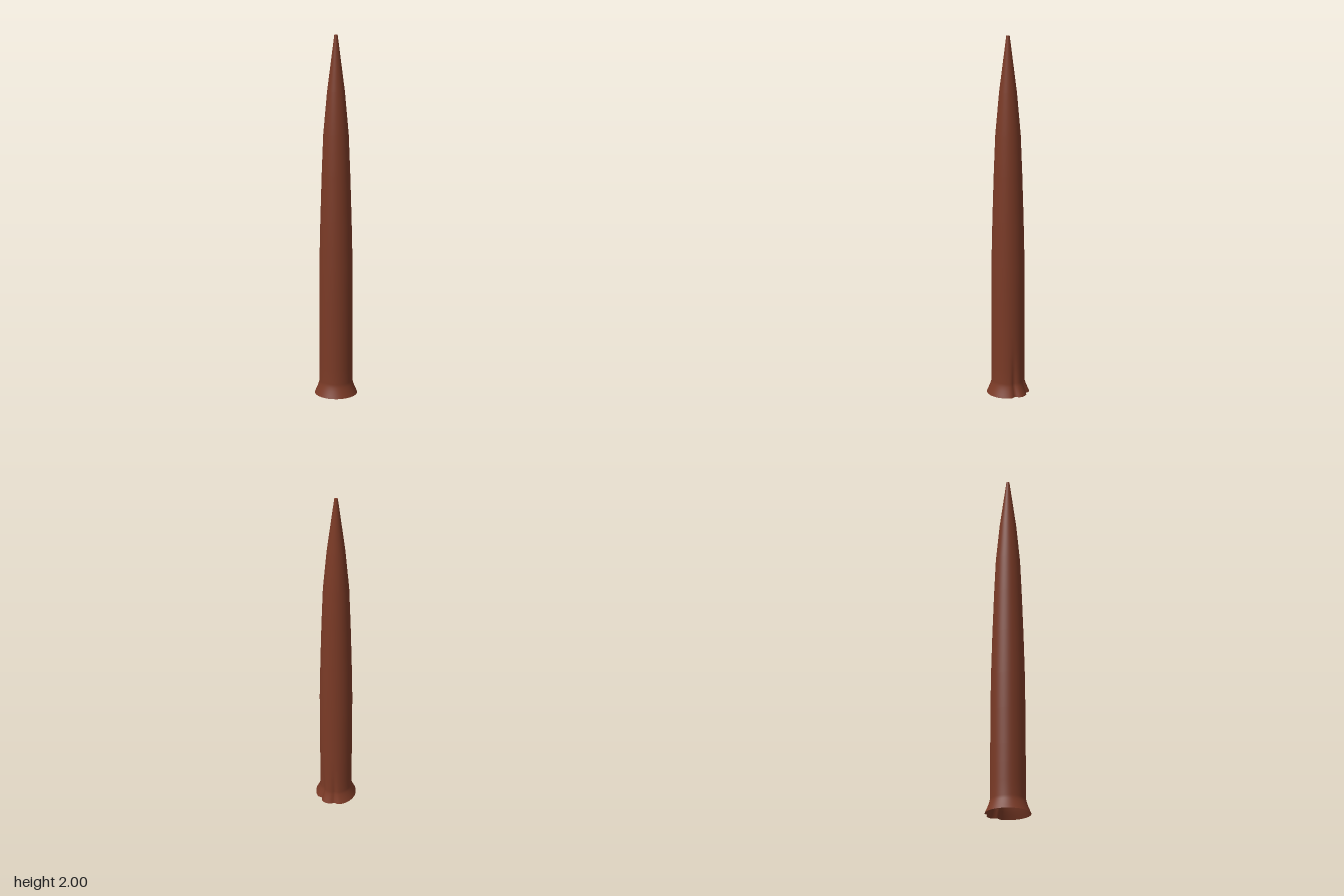
import * as THREE from 'three';
import { mergeVertices } from 'three/addons/utils/BufferGeometryUtils.js';

const AXIS_X = -0.002;

// Creases pressed into the flared foot: angle from +x towards +z, depth, width (radians)
const CREASES = [
  { angle: -0.50, depth: 0.013, width: 0.13 },
  { angle: 0.35, depth: 0.016, width: 0.13 },
];

// Tapered shaft with a flared, open foot; the creases fade out going up
function shaftGeometry() {
  const profile = [
    [0.12, 0], [0.112, 0.018], [0.104, 0.037], [0.097, 0.057], [0.093, 0.075],
    [0.093, 0.16], [0.093, 0.25], [0.093, 0.35], [0.093, 0.55], [0.092, 0.75],
    [0.086, 1.0], [0.078, 1.25], [0.069, 1.47], [0.048, 1.7], [0.009, 2],
  ].map(([r, y]) => new THREE.Vector2(r, y));
  let geometry = new THREE.LatheGeometry(profile, 72);

  const pos = geometry.attributes.position;
  for (let i = 0; i < pos.count; i++) {
    const x = pos.getX(i), y = pos.getY(i), z = pos.getZ(i);
    const angle = Math.atan2(z, x), r = Math.hypot(x, z);
    const fade = Math.max(0, 1 - y / 0.35) ** 2;
    let dr = 0.004 * Math.exp(-((angle / 0.2) ** 2)) * fade;
    for (const c of CREASES) {
      dr -= c.depth * fade * Math.exp(-(((angle - c.angle) / c.width) ** 2));
    }
    pos.setXYZ(i, x * (1 + dr / r), y, z * (1 + dr / r));
  }

  // Weld the seam so the shading stays smooth all round
  geometry.deleteAttribute('uv');
  geometry.deleteAttribute('normal');
  geometry = mergeVertices(geometry, 1e-5);
  geometry.computeVertexNormals();
  return geometry;
}

export function createModel() {
  const model = new THREE.Group();
  model.name = 'spike';
  const brown = new THREE.MeshStandardMaterial({ color: 0x7a3a26, side: THREE.DoubleSide });
  brown.name = 'reddish brown';

  const shaft = new THREE.Mesh(shaftGeometry(), brown);
  shaft.name = 'shaft';
  shaft.position.x = AXIS_X;
  model.add(shaft);

  // Small flat end at the point
  const tip = new THREE.Mesh(new THREE.CircleGeometry(0.009, 24), brown);
  tip.name = 'tip';
  tip.rotation.x = -Math.PI / 2;
  tip.position.set(AXIS_X, 2, 0);
  model.add(tip);

  return model;
}
